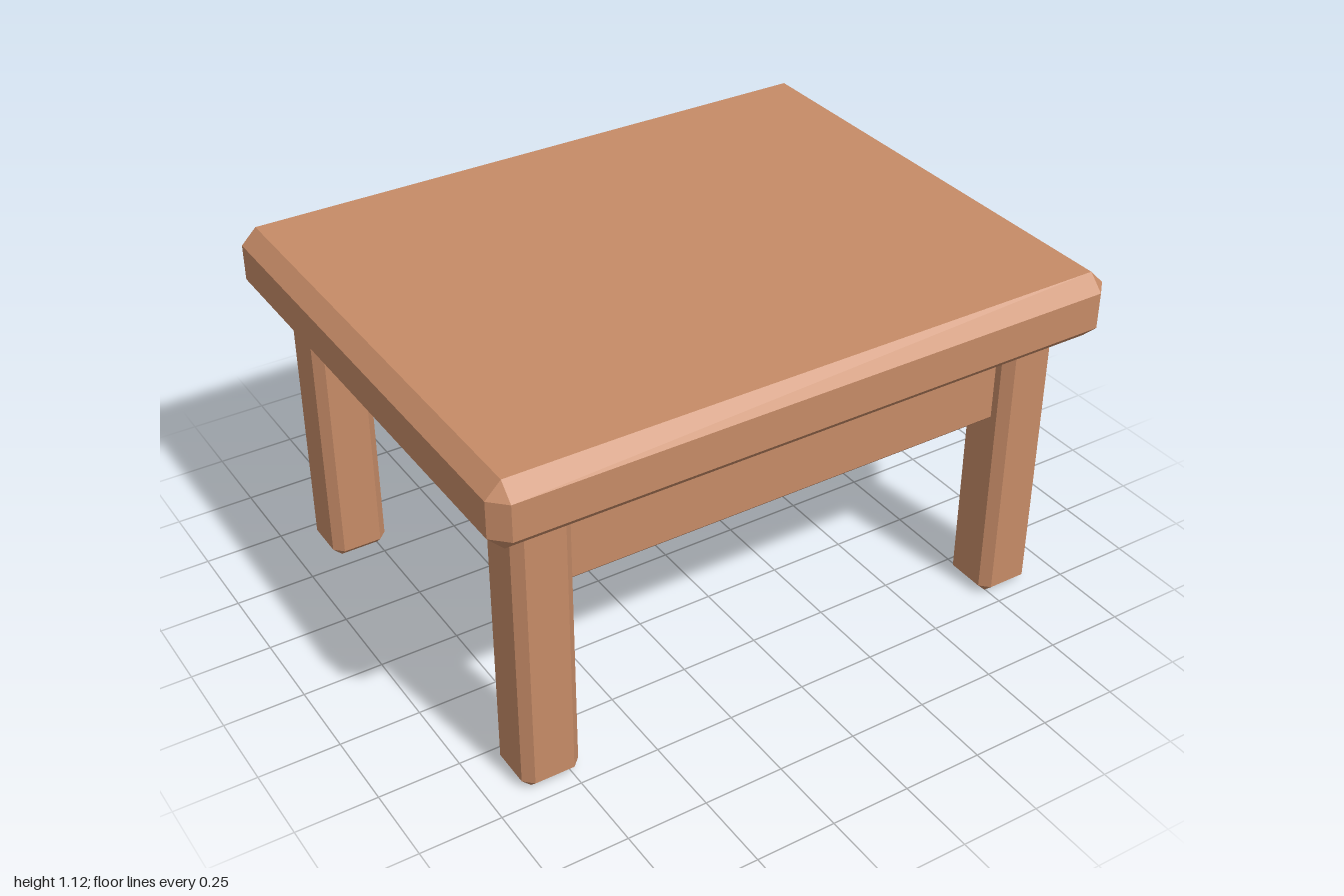
import * as THREE from 'three';
import { ConvexGeometry } from 'three/addons/geometries/ConvexGeometry.js';

// Box with every edge cut at 45 degrees: the hull of three points per corner
function chamferedBox(width, height, depth, cut) {
  const points = [];
  const [x, y, z] = [width / 2, height / 2, depth / 2];
  for (const sx of [-1, 1]) for (const sy of [-1, 1]) for (const sz of [-1, 1]) {
    points.push(
      new THREE.Vector3(sx * x, sy * (y - cut), sz * (z - cut)),
      new THREE.Vector3(sx * (x - cut), sy * y, sz * (z - cut)),
      new THREE.Vector3(sx * (x - cut), sy * (y - cut), sz * z)
    );
  }
  return new ConvexGeometry(points);
}

export function createModel() {
  const table = new THREE.Group();
  table.name = 'table';
  const wood = new THREE.MeshStandardMaterial({ color: 0xc68b67 });
  wood.name = 'warm wood';

  const add = (name, geometry, x, y, z) => {
    const mesh = new THREE.Mesh(geometry, wood);
    mesh.name = name;
    mesh.position.set(x, y, z);
    table.add(mesh);
  };

  // Thick top
  add('tableTop', chamferedBox(2, 0.21, 1.614, 0.048), 0, 1.01, 0);

  const legGeometry = chamferedBox(0.18, 0.905, 0.18, 0.028);
  const apronGeometry = chamferedBox(1.5, 0.29, 0.116, 0.016);
  for (const [end, sz] of [['front', 1], ['back', -1]]) {
    // Legs at the corners
    for (const [side, sx] of [['Left', 1], ['Right', -1]]) {
      add(`${end}${side}Leg`, legGeometry, sx * 0.81, 0.4525, sz * 0.62);
    }
    // Long rail between the legs, its upper edge set into the top
    add(`${end}Apron`, apronGeometry, 0, 0.775, sz * 0.6);
  }
  return table;
}
